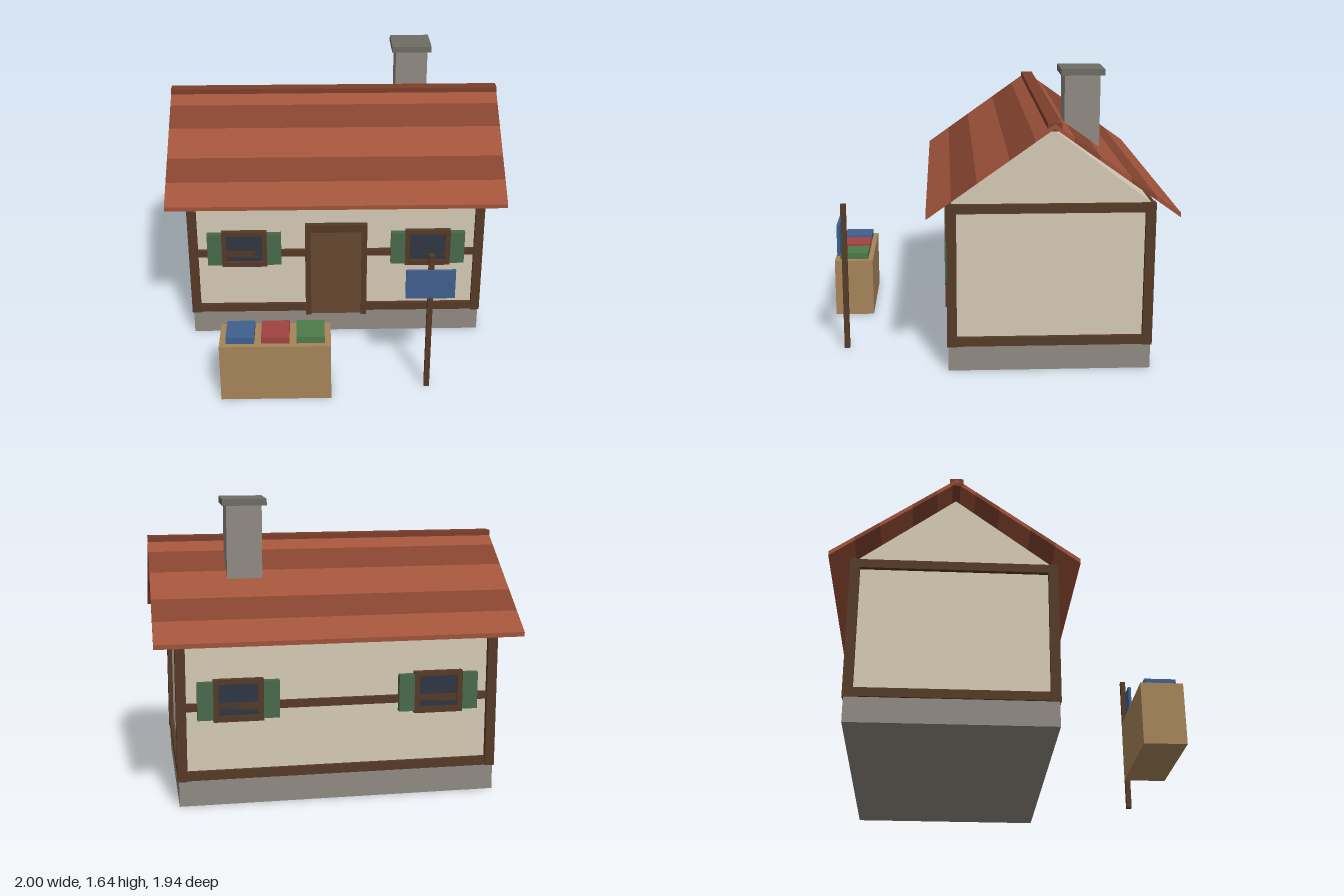
import * as THREE from 'three';

const mat = (color) => new THREE.MeshStandardMaterial({ color, flatShading: true });
const M = {
  wall: mat(0xd4c9b4), stone: mat(0x8f8981), cap: mat(0x6e6c65), timber: mat(0x553a26),
  door: mat(0x664830), glass: mat(0x2f3743), shutter: mat(0x48694a),
  tileLight: mat(0xa0533a), tileDark: mat(0x84432f), ridge: mat(0x7c3e2b),
  crate: mat(0xa68458), blue: mat(0x40608f), red: mat(0xa04242), green: mat(0x4c7a48),
};

// Box given by its lower and upper corner on each axis
function box(parent, name, material, [x0, x1], [y0, y1], [z0, z1]) {
  const mesh = new THREE.Mesh(new THREE.BoxGeometry(x1 - x0, y1 - y0, z1 - z0), material);
  mesh.position.set((x0 + x1) / 2, (y0 + y1) / 2, (z0 + z1) / 2);
  mesh.name = name;
  parent.add(mesh);
  return mesh;
}

// Profile in (z, y), extruded along x and centred
function prism(parent, name, material, points, length) {
  const shape = new THREE.Shape(points.map(([z, y]) => new THREE.Vector2(-z, y)));
  const geo = new THREE.ExtrudeGeometry(shape, { depth: length, bevelEnabled: false });
  geo.translate(0, 0, -length / 2).rotateY(Math.PI / 2);
  const mesh = new THREE.Mesh(geo, material);
  mesh.name = name;
  parent.add(mesh);
}

// Window facing +z, centred on x
function windowUnit(x) {
  const g = new THREE.Group();
  g.name = 'window';
  box(g, 'windowGlass', M.glass, [-0.11, 0.11], [0.495, 0.68], [0.53, 0.562]);
  for (const s of [-1, 1]) {
    const span = (a, b) => (s > 0 ? [a, b] : [-b, -a]);
    box(g, 'windowJamb', M.timber, span(0.107, 0.136), [0.47, 0.7], [0.53, 0.572]);
    box(g, 'shutter', M.shutter, span(0.136, 0.222), [0.48, 0.687], [0.535, 0.576]);
  }
  box(g, 'windowHead', M.timber, [-0.136, 0.136], [0.674, 0.7], [0.53, 0.572]);
  box(g, 'windowSill', M.timber, [-0.136, 0.136], [0.467, 0.5], [0.53, 0.576]);
  g.position.x = x;
  return g;
}

export function createModel() {
  const model = new THREE.Group();
  model.name = 'cottage';
  const house = new THREE.Group();
  house.name = 'house';
  house.position.z = -0.294;
  model.add(house);

  // Foundation and walls with gables
  box(house, 'foundation', M.stone, [-0.88, 0.88], [0, 0.14], [-0.56, 0.56]);
  prism(house, 'walls', M.wall, [[-0.54, 0.14], [0.54, 0.14], [0.54, 0.95], [0, 1.355], [-0.54, 0.95]], 1.72);

  // Timber frame
  for (const sx of [-1, 1]) {
    for (const sz of [-1, 1]) {
      box(house, 'cornerPost', M.timber, [sx * 0.861 - 0.027, sx * 0.861 + 0.027],
        [0.14, 0.95], [sz * 0.54 - 0.027, sz * 0.54 + 0.027]);
    }
    for (const y of [0.142, 0.898]) {
      box(house, 'sideBeam', M.timber, [sx * 0.861 - 0.024, sx * 0.861 + 0.024], [y, y + 0.05], [-0.54, 0.54]);
    }
  }
  for (const sz of [-1, 1]) {
    for (const [y, h] of [[0.142, 0.05], [0.528, 0.042], [0.898, 0.05]]) {
      box(house, 'longBeam', M.timber, [-0.86, 0.86], [y, y + h], [sz * 0.54 - 0.022, sz * 0.54 + 0.022]);
    }
  }

  // Windows on both long walls
  for (const turn of [0, Math.PI]) {
    const side = new THREE.Group();
    side.name = turn ? 'backWindows' : 'frontWindows';
    side.add(windowUnit(-0.553), windowUnit(0.553));
    side.rotation.y = turn;
    house.add(side);
  }

  // Door
  box(house, 'door', M.door, [-0.155, 0.155], [0.125, 0.7], [0.53, 0.566]);
  for (const x of [-0.17, 0.17]) {
    box(house, 'doorJamb', M.timber, [x - 0.017, x + 0.017], [0.12, 0.745], [0.53, 0.575]);
  }
  box(house, 'doorLintel', M.timber, [-0.187, 0.187], [0.695, 0.745], [0.53, 0.575]);

  // Roof courses in alternating tones
  const roofY = (z) => 1.406 - z * 0.713;
  const edges = [0, 0.104, 0.238, 0.407, 0.541, 0.675];
  for (const s of [-1, 1]) {
    for (let i = 0; i < 5; i++) {
      const a = edges[i], b = edges[i + 1];
      prism(house, 'roofCourse', i % 2 ? M.tileDark : M.tileLight, [
        [s * a, roofY(a)], [s * b, roofY(b)], [s * b, roofY(b) - 0.025], [s * a, roofY(a) - 0.025]], 2);
    }
  }
  box(house, 'ridge', M.ridge, [-1, 1], [1.366, 1.41], [-0.037, 0.037]);

  // Chimney
  box(house, 'chimney', M.stone, [0.385, 0.58], [1.1, 1.6], [-0.291, -0.094]);
  box(house, 'chimneyCap', M.cap, [0.36, 0.602], [1.6, 1.636], [-0.313, -0.072]);

  // Market counter with goods
  const stall = new THREE.Group();
  stall.name = 'stall';
  box(stall, 'counter', M.crate, [-0.667, -0.043], [0, 0.353], [0.735, 0.971]);
  [M.blue, M.red, M.green].forEach((m, i) => {
    const x = -0.63 + i * 0.197;
    box(stall, 'goods', m, [x, x + 0.158], [0.353, 0.393], [0.765, 0.94]);
  });
  model.add(stall);

  // Sign on a post
  const sign = new THREE.Group();
  sign.name = 'sign';
  box(sign, 'signPost', M.timber, [0.494, 0.524], [0, 0.863], [0.84, 0.871]);
  box(sign, 'signBoard', M.blue, [0.37, 0.643], [0.6, 0.775], [0.866, 0.883]);
  model.add(sign);

  return model;
}
